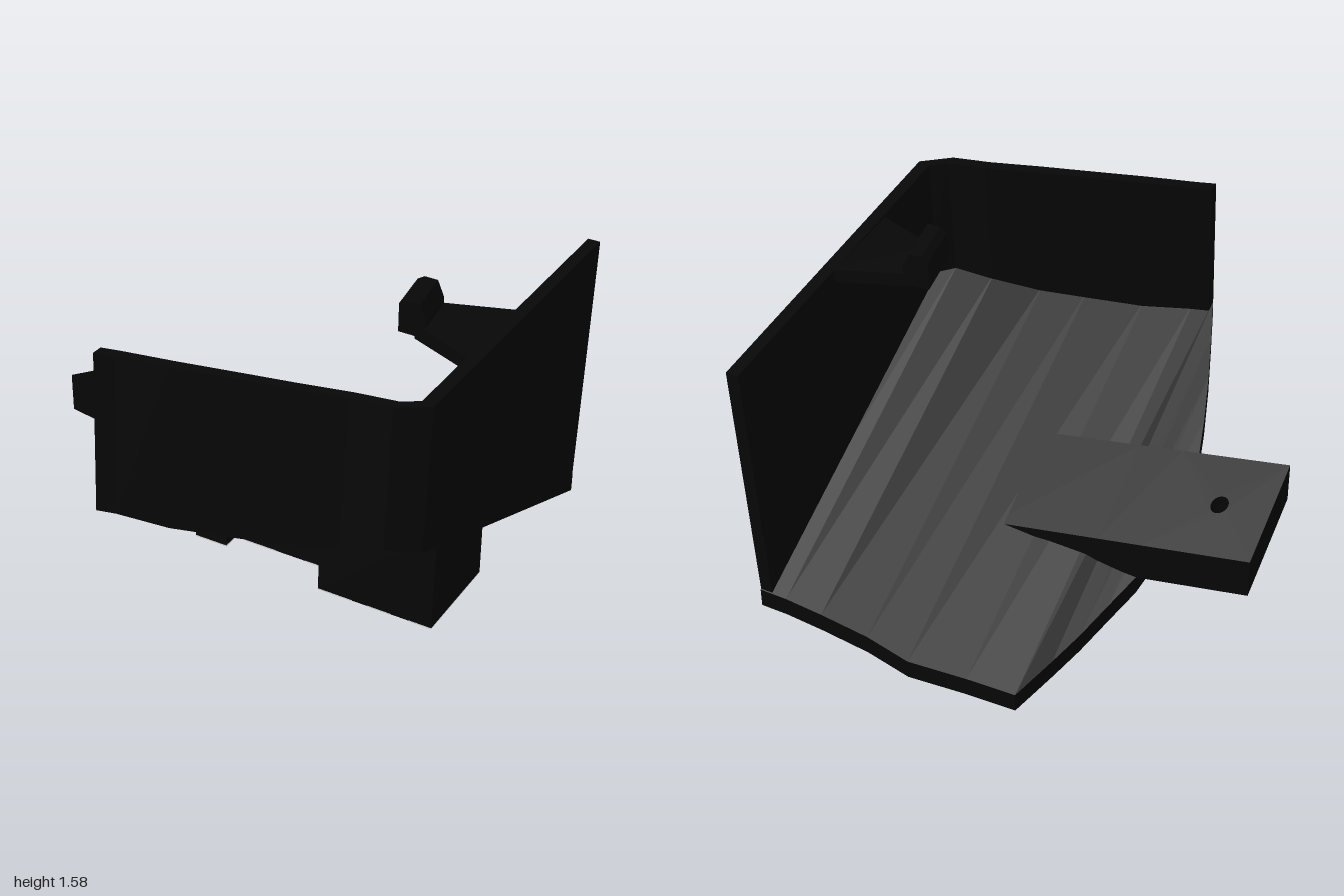
import * as THREE from 'three';

const body = new THREE.MeshStandardMaterial({ color: 0x070707, flatShading: true });
body.name = 'black plastic';
const pale = new THREE.MeshStandardMaterial({ color: 0xd8d8d8, flatShading: true });
pale.name = 'grey pad';

// Floor stations: x, back z, front z, underside height at z = 0, slope along z
const stations = [
  [-0.56, 0.08, 0.17, 0.355, 0.45], [-0.48, -0.27, 0.47, 0.36, 0.45],
  [-0.42, -0.42, 0.66, 0.365, 0.45], [-0.36, -0.58, 0.83, 0.375, 0.45],
  [-0.30, -0.72, 0.995, 0.385, 0.447], [-0.22, -0.91, 0.975, 0.402, 0.438],
  [0, -0.92, 0.93, 0.41, 0.43], [0.26, -0.95, 0.87, 0.445, 0.431],
  [0.46, -0.93, 0.825, 0.476, 0.427], [0.68, -0.93, 0.77, 0.528, 0.438],
  [0.85, -0.93, 0.74, 0.563, 0.449], [0.975, -0.93, 0.655, 0.575, 0.454],
];
const THICK = 0.087;

// Height of the floor's underside
function under(x, z) {
  let i = 0;
  while (i < stations.length - 2 && x > stations[i + 1][0]) i++;
  const a = stations[i], b = stations[i + 1];
  const t = THREE.MathUtils.clamp((x - a[0]) / (b[0] - a[0]), 0, 1);
  const mix = (k) => THREE.MathUtils.lerp(a[k], b[k], t);
  return mix(3) + mix(4) * z;
}
const rim = (z) => 1.55 - 0.067 * (0.955 - z); // top edge of the walls
const padY = (z) => 0.33 + 0.064 * (z - 0.02); // bottom of the connector blocks
const tabY = (x, z) => 0.78 - 0.167 * (x + 0.98) + 0.437 * (z - 0.17); // top of the tab

// Closed solid through matching cross-section loops, wound outwards
function loft(sections) {
  const tris = [];
  const n = sections[0].length;
  for (let s = 0; s < sections.length - 1; s++) {
    const a = sections[s], b = sections[s + 1];
    for (let i = 0; i < n; i++) {
      const j = (i + 1) % n;
      tris.push([a[i], a[j], b[j]], [a[i], b[j], b[i]]);
    }
  }
  const first = sections[0], last = sections[sections.length - 1];
  for (let i = 1; i < n - 1; i++) {
    tris.push([first[0], first[i + 1], first[i]], [last[0], last[i], last[i + 1]]);
  }
  let volume = 0;
  const v = tris.map((t) => t.map((p) => new THREE.Vector3(...p)));
  for (const [a, b, c] of v) volume += a.dot(b.clone().cross(c));
  if (volume < 0) v.forEach((t) => t.reverse());
  const g = new THREE.BufferGeometry().setFromPoints(v.flat());
  g.computeVertexNormals();
  return g;
}

export function createModel() {
  const group = new THREE.Group();
  const add = (name, geometry, material = body) => {
    const mesh = new THREE.Mesh(geometry, material);
    mesh.name = name;
    group.add(mesh);
  };

  // Sloping, gently curved floor
  add('floor', loft(stations.map(([x, zb, zf]) => [
    [x, under(x, zb), zb], [x, under(x, zf), zf],
    [x, under(x, zf) + THICK, zf - 0.006], [x, under(x, zb) + THICK, zb],
  ])));

  // Front wall, bent at the corner
  add('frontWall', loft(stations.filter((s) => s[0] >= -0.3).map(([x, , zf]) => {
    const zt = zf - 0.043;
    return [
      [x, under(x, zf), zf], [x, rim(zt), zt],
      [x, rim(zt - 0.05), zt - 0.05], [x, under(x, zf - 0.05) + 0.02, zf - 0.05],
    ];
  })));

  // Side wall
  const sideSection = (zb, zt) => [
    [0.92, under(0.975, zb), zb], [0.975, under(0.975, zb), zb],
    [0.975, rim(zt), zt], [0.92, rim(zt), zt],
  ];
  add('sideWall', loft([sideSection(0.65, 0.608), sideSection(-0.92, -1)]));

  // Mounting tab with a round hole
  const plan = new THREE.Shape([[-0.98, -0.17], [-0.5, -0.17], [-0.5, 0.27], [-0.98, 0.27]]
    .map((p) => new THREE.Vector2(...p)));
  plan.holes.push(new THREE.Path().absarc(-0.755, 0.045, 0.038, 0, Math.PI * 2, true));
  const tab = new THREE.ExtrudeGeometry(plan, { depth: 0.18, bevelEnabled: false, curveSegments: 12 });
  tab.rotateX(-Math.PI / 2);
  const p = tab.attributes.position;
  for (let i = 0; i < p.count; i++) {
    p.setY(i, p.getY(i) - 0.18 + tabY(p.getX(i), p.getZ(i)));
  }
  tab.computeVertexNormals();
  add('tab', tab);

  // Root of the tab, fading into the floor
  const rootSection = (x, low) => [
    [x, low(x, -0.27), -0.27], [x, low(x, 0.17), 0.17],
    [x, tabY(x, 0.17), 0.17], [x, tabY(x, -0.27), -0.27],
  ];
  add('tabRoot', loft([
    rootSection(-0.5, (x, z) => tabY(x, z) - 0.18),
    rootSection(-0.3, (x, z) => under(x, z) + 0.03),
    rootSection(0.19, (x, z) => under(x, z) + 0.03),
  ]));

  // Connector blocks: x range, z range, x ranges of the grey strips
  const blocks = [
    [-0.2, -0.05, -0.02, 0.42, [[-0.2, -0.05]]],
    [0, 0.38, 0.09, 0.34, [[0, 0.15], [0.29, 0.38]]],
    [0.43, 0.95, 0.02, 0.485, [[0.43, 0.59], [0.66, 0.77], [0.85, 0.95]]],
  ];
  // Thin plate on the bottom of a block
  const plate = (x0, x1, z0, z1) => loft([x0, x1].map((x) => [
    [x, padY(z0) - 0.004, z0], [x, padY(z1) - 0.004, z1],
    [x, padY(z1) + 0.002, z1], [x, padY(z0) + 0.002, z0],
  ]));
  blocks.forEach(([x0, x1, z0, z1, strips]) => {
    add('connectorBlock', loft([x0, x1].map((x) => [
      [x, padY(z0), z0], [x, padY(z1), z1],
      [x, under(x, z1) + 0.03, z1 - 0.015], [x, under(x, z0) + 0.03, z0],
    ])));
    strips.forEach(([a, b]) => add('greyStrip', plate(a, b, z0, z1), pale));
    // Grey band joining the strips at the back
    strips.slice(1).forEach(([b], i) => add('greyBand', plate(strips[i][1], b, z0, z0 + 0.06), pale));
  });

  // Hooked catch above the wall, on a flared arm
  const catchProfile = [[0.53, 1.43], [0.53, 1.56], [0.56, 1.58], [0.62, 1.58], [0.65, 1.51], [0.65, 1.43]];
  add('catch', loft([-0.145, 0.08].map((z) =>
    catchProfile.map(([x, y]) => [x + (z > 0 ? 0.03 : 0), y + 0.06 * z, z]))));
  const armSection = (x, z0, z1) => [[x, 1.41, z0], [x, 1.42, z1], [x, 1.485, z1], [x, 1.47, z0]];
  add('catchArm', loft([armSection(0.63, -0.145, 0.075), armSection(0.94, -0.25, 0.2)]));

  return group;
}
